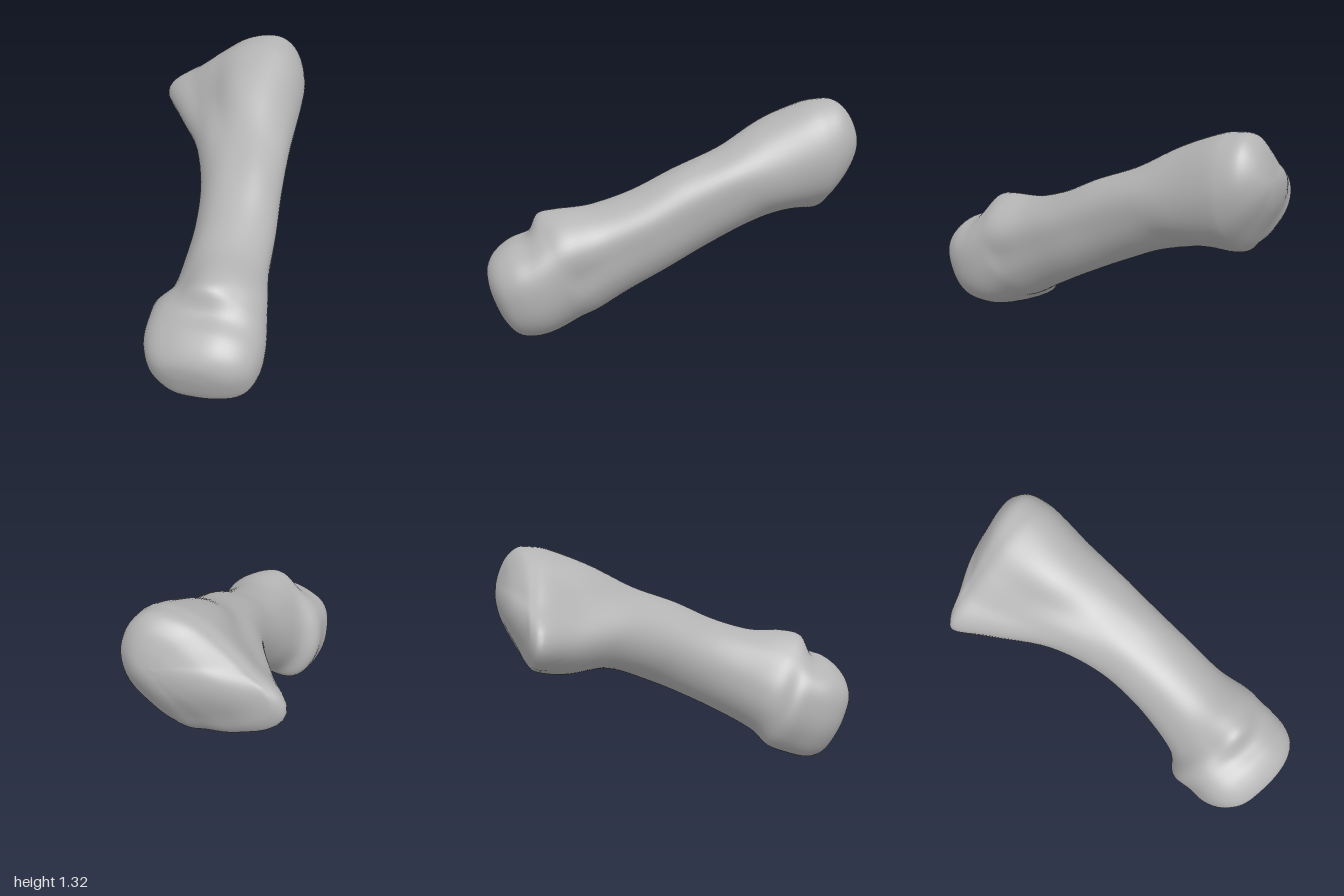
import * as THREE from 'three';

// Frame of the sloping bone: W runs along it from the wide base to the round head
const ORIGIN = new THREE.Vector3(0.1, 0.65, 0);
const W = new THREE.Vector3(0.41, -0.41, 1).normalize();
const U = new THREE.Vector3(1, 0, -0.41).normalize();
const V = new THREE.Vector3().crossVectors(W, U);

// A section: distance along W, centre (u, v), lean of the section along u and v,
// then radii every 30 degrees, counter-clockwise from +u
const baseRim = [-0.84, -0.12, -0.1, 0, -0.2,
  0.345, 0.43, 0.475, 0.415, 0.355, 0.375, 0.5, 0.325, 0.225, 0.21, 0.215, 0.25];
const shaft = [
  [-0.63, -0.1, -0.05, 0.04, -0.1,
    0.34, 0.4, 0.41, 0.365, 0.29, 0.3, 0.39, 0.33, 0.235, 0.2, 0.2, 0.25],
  [-0.38, -0.02, 0.03, 0, 0,
    0.28, 0.31, 0.285, 0.25, 0.235, 0.26, 0.29, 0.28, 0.24, 0.225, 0.235, 0.255],
  [-0.1, 0.03, 0.03, 0, 0,
    0.245, 0.275, 0.275, 0.247, 0.24, 0.235, 0.235, 0.23, 0.23, 0.235, 0.24, 0.24],
  [0.16, 0.06, 0.015, 0, 0,
    0.238, 0.265, 0.26, 0.247, 0.24, 0.23, 0.228, 0.23, 0.24, 0.245, 0.25, 0.24],
  [0.4, 0.065, 0.01, 0, 0,
    0.245, 0.275, 0.275, 0.268, 0.255, 0.235, 0.235, 0.25, 0.265, 0.272, 0.27, 0.255],
];
const neck = [
  [0.59, 0.06, 0, 0, 0,
    0.27, 0.33, 0.34, 0.335, 0.28, 0.25, 0.255, 0.28, 0.3, 0.295, 0.295, 0.28],
  [0.7, 0.05, 0, 0, 0,
    0.315, 0.345, 0.335, 0.347, 0.29, 0.3, 0.32, 0.355, 0.375, 0.31, 0.305, 0.305],
];
const headRim = [0.82, 0.05, -0.02, 0.03, -0.1,
  0.335, 0.355, 0.32, 0.285, 0.29, 0.325, 0.32, 0.335, 0.36, 0.312, 0.305, 0.325];

// Shrinks a rim section to round off an end: [distance, size, centre u, centre v, leanU, leanV]
const cap = (rim, steps) => steps.map(([s, size, ...rest]) =>
  [s, ...rest, ...rim.slice(5).map((r) => r * size)]);

const sections = [
  ...cap(baseRim, [
    [-1.125, 0, -0.01, 0.03, -0.15, -0.15],
    [-1.115, 0.25, -0.02, 0.02, -0.15, -0.15],
    [-1.08, 0.52, -0.06, -0.01, -0.15, -0.2],
    [-1.01, 0.78, -0.09, -0.05, -0.12, -0.25],
    [-0.93, 0.94, -0.11, -0.09, -0.03, -0.25],
  ]),
  baseRim,
  ...shaft,
  ...neck,
  headRim,
  ...cap(headRim, [
    [0.93, 0.98, 0.05, -0.015, 0.03, -0.1],
    [1.02, 0.86, 0.05, -0.01, 0.03, -0.08],
    [1.075, 0.63, 0.04, 0, 0.03, -0.05],
    [1.1, 0.32, 0.03, 0, 0.03, -0.05],
    [1.105, 0, 0.03, 0, 0.03, -0.05],
  ]),
];

// Smooth curve between b and c, with neighbours a and d
function smooth(a, b, c, d, f) {
  const m0 = (c - a) / 2;
  const m1 = (d - b) / 2;
  const e = c - b;
  return b + f * (m0 + f * (3 * e - 2 * m0 - m1 + f * (m0 + m1 - 2 * e)));
}

// Section anywhere along the bone
function sectionAt(t) {
  const last = sections.length - 1;
  const i = Math.min(Math.floor(t), last - 1);
  const row = (k) => sections[Math.max(0, Math.min(last, k))];
  const [a, b, c, d] = [row(i - 1), row(i), row(i + 1), row(i + 2)];
  return b.map((p, k) => smooth(a[k], p, c[k], d[k], t - i));
}

// Point on a section, turn running from 0 to 1 around it
function pointOn([s, u0, v0, leanU, leanV, ...radii], turn) {
  const n = radii.length;
  const i = Math.floor(turn * n);
  const at = (k) => radii[(k + n) % n];
  const r = smooth(at(i - 1), at(i), at(i + 1), at(i + 2), turn * n - i);
  const u = u0 + r * Math.cos(turn * Math.PI * 2);
  const v = v0 + r * Math.sin(turn * Math.PI * 2);
  return ORIGIN.clone()
    .addScaledVector(U, u)
    .addScaledVector(V, v)
    .addScaledVector(W, s + leanU * u + leanV * v);
}

function boneGeometry(around = 72, steps = 6) {
  const rings = (sections.length - 1) * steps;
  const positions = [];
  const indices = [];
  for (let i = 0; i <= rings; i++) {
    const section = sectionAt(i / steps);
    for (let j = 0; j < around; j++) {
      positions.push(...pointOn(section, j / around).toArray());
      if (i === rings) continue;
      const a = i * around + j;
      const b = i * around + ((j + 1) % around);
      indices.push(a, b, a + around, b, b + around, a + around);
    }
  }
  const geometry = new THREE.BufferGeometry();
  geometry.setAttribute('position', new THREE.Float32BufferAttribute(positions, 3));
  geometry.setIndex(indices);
  geometry.computeVertexNormals();
  return geometry;
}

export function createModel() {
  const group = new THREE.Group();
  group.name = 'footBone';
  const material = new THREE.MeshStandardMaterial({ color: 0xb4b4b4 });
  material.name = 'bone grey';
  const bone = new THREE.Mesh(boneGeometry(), material);
  bone.name = 'bone';
  group.add(bone);
  return group;
}
